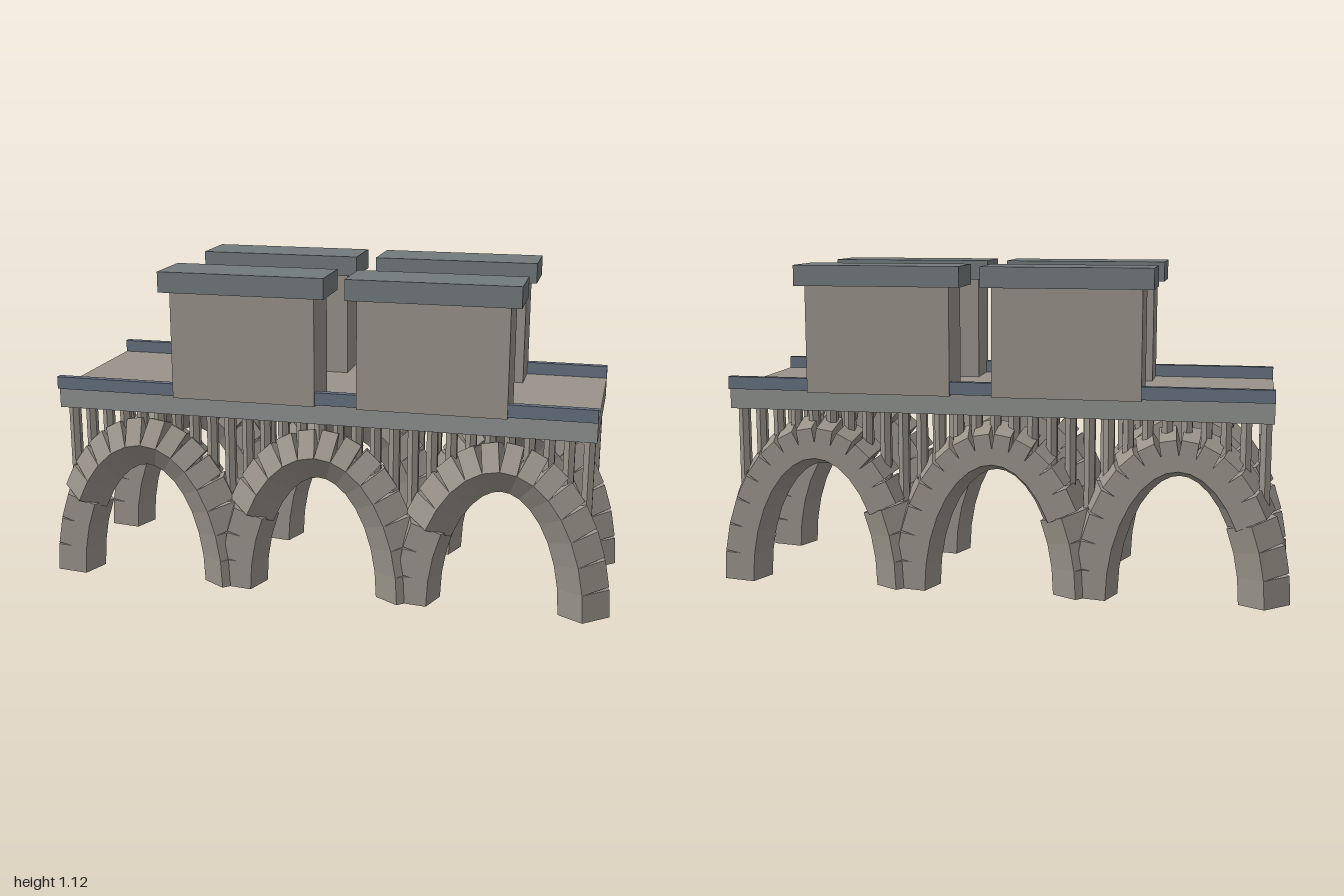
import * as THREE from 'three';

const mat = (color) => new THREE.MeshStandardMaterial({ color, flatShading: true });

export function createModel() {
  const root = new THREE.Group();
  const stone = mat(0x99938a), deckGrey = mat(0x8e918f), slate = mat(0x737a7c), blueSlate = mat(0x667080);

  const add = (parent, name, geo, material, x, y, z) => {
    const m = new THREE.Mesh(geo, material);
    m.name = name;
    m.position.set(x, y, z);
    parent.add(m);
    return m;
  };
  // box given by its lower and upper corners
  const box = (name, material, [x0, y0, z0], [x1, y1, z1]) =>
    add(root, name, new THREE.BoxGeometry(x1 - x0, y1 - y0, z1 - z0), material,
      (x0 + x1) / 2, (y0 + y1) / 2, (z0 + z1) / 2);

  // arch dimensions: half width and height of the centre line, block radius
  const A = 0.29, B = 0.503, BASE = 0.005, R = 0.09, ROW = 0.245, N = 16;
  const centres = [-0.625, 0, 0.625];
  const archPoint = (i) => {
    const t = (Math.PI * i) / N;
    return new THREE.Vector2(A * Math.cos(t), BASE + B * Math.sin(t));
  };

  // arch of straight five-sided blocks along a half ellipse
  const addArch = (cx, z) => {
    const arch = new THREE.Group();
    arch.name = 'arch';
    arch.position.set(cx, 0, z);
    for (let i = 0; i < N; i++) {
      const p = archPoint(i), q = archPoint(i + 1), d = q.clone().sub(p);
      const geo = new THREE.CylinderGeometry(R, R, d.length(), 5);
      // the three lowest blocks of the right leg are turned round
      if (i >= N - 3) geo.rotateY(Math.PI);
      const block = add(arch, 'archBlock', geo, stone, (p.x + q.x) / 2, (p.y + q.y) / 2, 0);
      block.rotation.z = Math.atan2(d.y, d.x) - Math.PI / 2;
    }
    root.add(arch);
  };

  // slim posts between arches and deck
  const addPosts = (z) => {
    const count = 28;
    for (let i = 0; i <= count; i++) {
      const x = -0.905 + (1.81 * i) / count;
      const off = Math.min(...centres.map((c) => Math.abs(x - c)));
      const y = off < A ? BASE + B * Math.sqrt(1 - (off / A) ** 2) : 0.25;
      const bottom = Math.max(y, 0.2);
      add(root, 'post', new THREE.CylinderGeometry(0.021, 0.021, 0.63 - bottom, 6), stone,
        x, (0.63 + bottom) / 2, z);
    }
  };

  for (const s of [1, -1]) {
    centres.forEach((cx) => addArch(cx, s * ROW));
    addPosts(s * 0.243);

    // kerb along the deck edge
    const [k0, k1] = s > 0 ? [0.294, 0.32] : [-0.32, -0.294];
    box('kerb', blueSlate, [-0.93, 0.69, k0], [0.93, 0.733, k1]);

    // wall blocks with overhanging caps
    for (const x of [-0.5, 0.143]) {
      const [w0, w1] = s > 0 ? [0.153, 0.325] : [-0.325, -0.153];
      box('wall', stone, [x, 0.685, w0], [x + 0.5, 1.055, w1]);
      box('wallCap', slate, [x - 0.037, 1.05, w0 - 0.012], [x + 0.535, 1.12, w1 + 0.012]);
    }
  }

  // deck and road surface
  box('deck', deckGrey, [-0.93, 0.62, -0.305], [0.93, 0.687, 0.305]);
  box('roadSurface', stone, [-0.93, 0.687, -0.305], [0.93, 0.69, 0.305]);

  return root;
}
